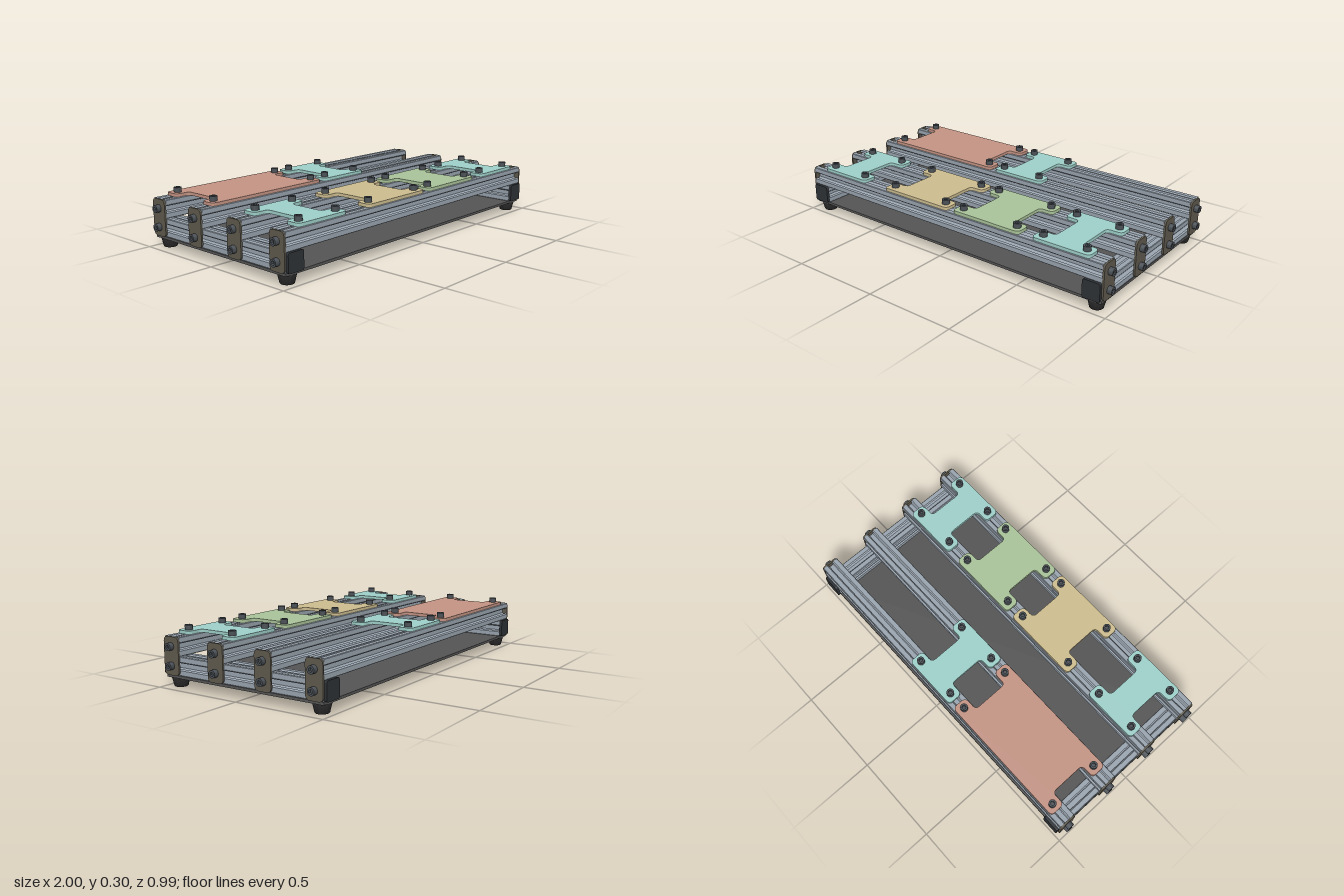
import * as THREE from 'three';
import { toCreasedNormals } from 'three/addons/utils/BufferGeometryUtils.js';

const material = (color) => new THREE.MeshStandardMaterial({ color });
const aluminium = material(0x9aa5b0);
const steel = material(0x4c5258);
const rubber = material(0x333333);
const capBlack = material(0x2e3236);
const endPlateBrown = material(0x5f5a4e);
const basePlateGrey = material(0x555555);
const red = material(0xc49484);
const teal = material(0x9fd0ca);
const tan = material(0xcdbd90);
const green = material(0xaac49a);

const RAIL = 0.097; // profile width
const RAIL_Y = 0.2095, CROSS_Y = 0.1125;
const RAIL_Z = [-0.435, -0.145, 0.145, 0.435];
const CROSS_X = 0.915;

function addMesh(parent, name, geometry, mat, x = 0, y = 0, z = 0) {
  const mesh = new THREE.Mesh(geometry, mat);
  mesh.name = name;
  mesh.position.set(x, y, z);
  parent.add(mesh);
  return mesh;
}

// Closed polygon whose corners are all rounded by r
function roundedPolygon(points, r) {
  const shape = new THREE.Shape();
  const pts = points.map(([x, y]) => new THREE.Vector2(x, y));
  pts.forEach((p, i) => {
    const prev = pts[(i + pts.length - 1) % pts.length];
    const next = pts[(i + 1) % pts.length];
    const a = p.clone().add(prev.clone().sub(p).setLength(r));
    const b = p.clone().add(next.clone().sub(p).setLength(r));
    if (i === 0) shape.moveTo(a.x, a.y);
    else shape.lineTo(a.x, a.y);
    shape.quadraticCurveTo(p.x, p.y, b.x, b.y);
  });
  shape.closePath();
  return shape;
}

const roundedRect = (w, h, r) =>
  roundedPolygon([[-w / 2, -h / 2], [w / 2, -h / 2], [w / 2, h / 2], [-w / 2, h / 2]], r);

// Extrusion along z, centred on the origin
function slab(shape, depth, curveSegments = 6) {
  const g = new THREE.ExtrudeGeometry(shape, { depth, bevelEnabled: false, curveSegments });
  return toCreasedNormals(g.translate(0, 0, -depth / 2), 0.6);
}

// T-slot aluminium profile: one side repeated four times
function railGeometry(length) {
  const half = [[9.4, 10], [4.4, 10], [3, 8.4], [5.5, 8.4], [5.5, 6.8], [2.8, 4]];
  const side = [...half, ...half.map(([x, y]) => [-x, y]).reverse()];
  const k = RAIL / 20;
  const points = [];
  for (let i = 0; i < 4; i++) {
    for (const [x, y] of side) {
      points.push(new THREE.Vector2(x * k, y * k).rotateAround(new THREE.Vector2(), i * Math.PI / 2));
    }
  }
  const shape = new THREE.Shape(points);
  shape.holes.push(new THREE.Path().absarc(0, 0, 2.2 * k, 0, Math.PI * 2, true));
  return slab(shape, length);
}

// Socket-head bolt standing on y = 0
const BOLT_R = 0.02, BOLT_H = 0.025;
const headShape = new THREE.Shape().absarc(0, 0, BOLT_R, 0, Math.PI * 2, false);
headShape.holes.push(new THREE.Path(Array.from({ length: 6 }, (_, i) => {
  const a = -i * Math.PI / 3;
  return new THREE.Vector2(0.011 * Math.cos(a), 0.011 * Math.sin(a));
})));
const headGeometry = slab(headShape, BOLT_H, 10).rotateX(-Math.PI / 2).translate(0, BOLT_H / 2, 0);
const socketGeometry = new THREE.CylinderGeometry(0.014, 0.014, 0.012, 12).translate(0, 0.006, 0);

function addBolt(parent, x, y, z) {
  const bolt = new THREE.Group();
  bolt.name = 'bolt';
  addMesh(bolt, 'boltHead', headGeometry, steel);
  addMesh(bolt, 'boltSocketFloor', socketGeometry, steel);
  bolt.position.set(x, y, z);
  parent.add(bolt);
  return bolt;
}

// I-shaped plate bridging two rails: wide flanges over the rails, narrower web between
function addTopPlate(parent, { x0, x1, w0, w1, b0, b1, z, mat }) {
  const plate = new THREE.Group();
  plate.name = 'topPlate';
  const H = 0.188, F = 0.1025; // half depth, half length of web
  const shape = roundedPolygon([
    [x0, -H], [x1, -H], [x1, -F], [w1, -F], [w1, F], [x1, F],
    [x1, H], [x0, H], [x0, F], [w0, F], [w0, -F], [x0, -F],
  ], 0.026);
  addMesh(plate, 'plateBody', slab(shape, 0.017).rotateX(-Math.PI / 2), mat, 0, 0.2665, 0);
  for (const x of [b0, b1]) for (const s of [-1, 1]) addBolt(plate, x, 0.275, s * 0.145);
  plate.position.z = z;
  parent.add(plate);
}

export function createModel() {
  const model = new THREE.Group();
  model.name = 'railFrame';

  // Base plate
  addMesh(model, 'basePlate', new THREE.BoxGeometry(1.93, 0.014, 0.96), basePlateGrey, 0, 0.057, 0);

  // Long rails with end plates and end bolts
  const longRail = railGeometry(1.93).rotateY(Math.PI / 2);
  const endPlate = slab(roundedRect(RAIL, 0.194, 0.026), 0.01).rotateY(Math.PI / 2);
  for (const z of RAIL_Z) {
    addMesh(model, 'longRail', longRail, aluminium, 0, RAIL_Y, z);
    for (const s of [-1, 1]) {
      addMesh(model, 'endPlate', endPlate, endPlateBrown, s * 0.97, 0.161, z);
      for (const y of [CROSS_Y, RAIL_Y]) addBolt(model, s * 0.975, y, z).rotation.z = -s * Math.PI / 2;
    }
  }

  // Cross rails with black end caps, and a foot under every corner
  const crossRail = railGeometry(0.96);
  const endCap = slab(roundedRect(RAIL, RAIL, 0.012), 0.016);
  const footProfile = [[0, 0.03], [0.018, 0.03], [0.018, 0], [0.032, 0], [0.035, 0.003], [0.046, 0.05], [0, 0.05]];
  const foot = toCreasedNormals(
    new THREE.LatheGeometry(footProfile.map(([r, y]) => new THREE.Vector2(r, y)), 32), 0.6);
  for (const sx of [-1, 1]) {
    addMesh(model, 'crossRail', crossRail, aluminium, sx * CROSS_X, CROSS_Y, 0);
    for (const sz of [-1, 1]) {
      addMesh(model, 'endCap', endCap, capBlack, sx * CROSS_X, CROSS_Y, sz * 0.488);
      addMesh(model, 'foot', foot, rubber, sx * CROSS_X, 0, sz * 0.435);
    }
  }

  // Coloured plates: outer x range, web x range, bolt x positions
  const back = -0.29, front = 0.29;
  [
    { x0: -0.895, x1: -0.14, w0: -0.815, w1: -0.225, b0: -0.855, b1: -0.18, z: back, mat: red },
    { x0: -0.11, x1: 0.21, w0: -0.032, w1: 0.13, b0: -0.07, b1: 0.17, z: back, mat: teal },
    { x0: -0.88, x1: -0.56, w0: -0.8, w1: -0.645, b0: -0.84, b1: -0.6, z: front, mat: teal },
    { x0: -0.405, x1: 0.035, w0: -0.32, w1: -0.045, b0: -0.365, b1: -0.005, z: front, mat: tan },
    { x0: 0.075, x1: 0.49, w0: 0.16, w1: 0.41, b0: 0.115, b1: 0.452, z: front, mat: green },
    { x0: 0.567, x1: 0.89, w0: 0.65, w1: 0.805, b0: 0.607, b1: 0.85, z: front, mat: teal },
  ].forEach((plate) => addTopPlate(model, plate));

  return model;
}
